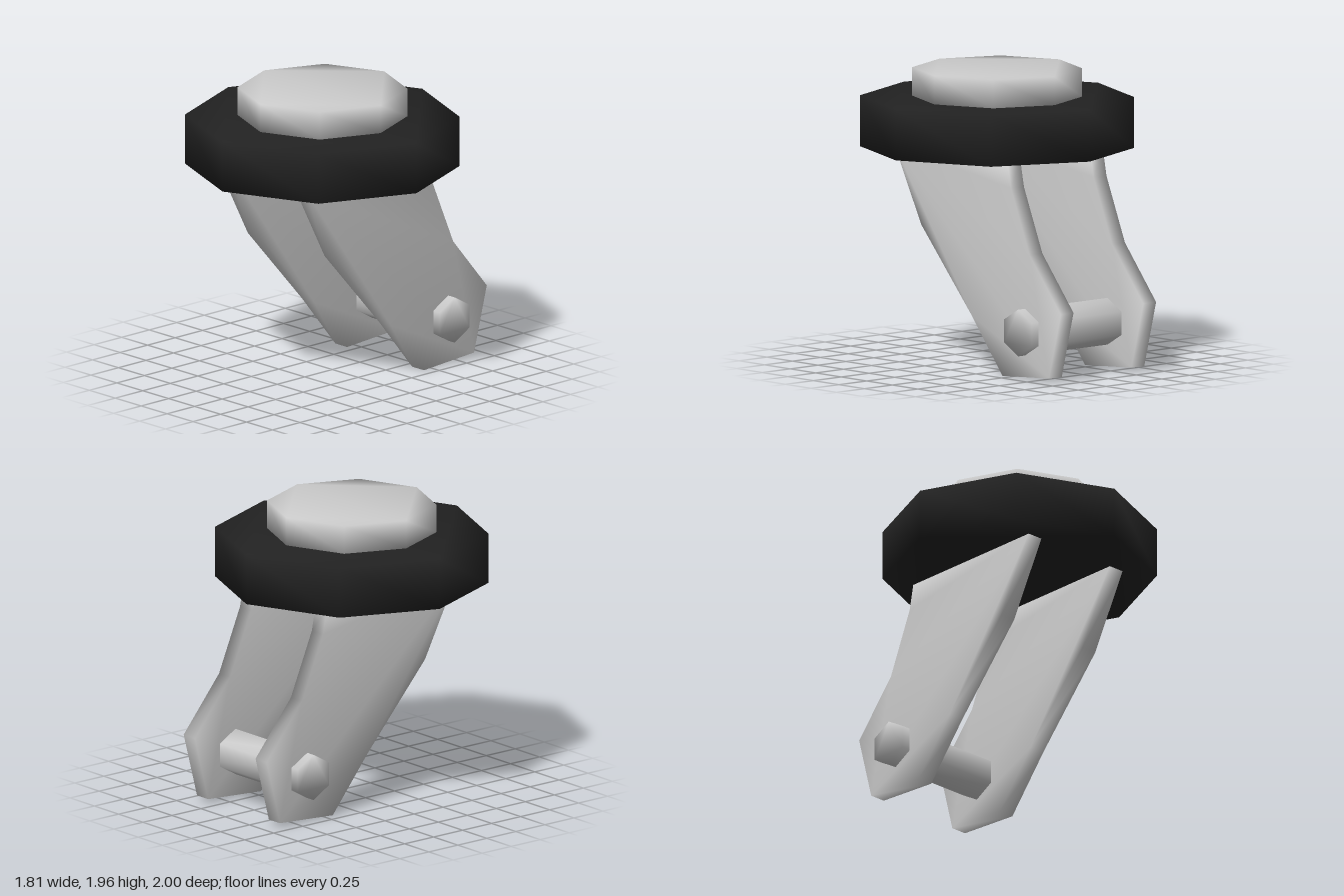
import * as THREE from 'three';
import { mergeVertices } from 'three/addons/utils/BufferGeometryUtils.js';

// Low-poly prism from an outline in XY, extruded along +z, with shared smooth normals
function prism(points, depth) {
  const shape = new THREE.Shape(points.map(([x, y]) => new THREE.Vector2(x, y)));
  const raw = new THREE.ExtrudeGeometry(shape, { depth, bevelEnabled: false });
  raw.deleteAttribute('uv');
  raw.deleteAttribute('normal');
  const geometry = mergeVertices(raw, 1e-4);
  geometry.computeVertexNormals();
  return geometry;
}

// Regular polygon with one corner pointing up
function polygon(sides, radius) {
  return Array.from({ length: sides }, (_, i) => {
    const a = Math.PI / 2 + (i / sides) * Math.PI * 2;
    return [Math.cos(a) * radius, Math.sin(a) * radius];
  });
}

export function createModel() {
  const group = new THREE.Group();
  const grey = new THREE.MeshStandardMaterial({ color: 0xcccccc });
  const black = new THREE.MeshStandardMaterial({ color: 0x222222 });

  function add(name, geometry, material, x, y, z) {
    const mesh = new THREE.Mesh(geometry, material);
    mesh.name = name;
    mesh.position.set(x, y, z);
    group.add(mesh);
  }

  // Octagonal mounting plate and the cap on top of it
  const discZ = 0.09;
  const disc = (radius, height) => prism(polygon(8, radius), height).rotateX(-Math.PI / 2);
  add('mountingPlate', disc(0.907, 0.34), black, 0, 1.43, discZ);
  add('topCap', disc(0.562, 0.19), grey, 0, 1.77, discZ);

  // Two raked fork legs, outline given as [z, y]
  const legOutline = [
    [0.63, 1.435], [0.365, 0.925], [-0.13, 0.37], [-0.43, 0], [-0.885, 0.03],
    [-1, 0.47], [-0.695, 0.835], [-0.515, 1.26], [-0.48, 1.435],
  ].map(([z, y]) => [-z, y]);
  const legWidth = 0.115;
  for (const [name, x] of [['leftLeg', 0.37], ['rightLeg', -0.37]]) {
    const leg = prism(legOutline, legWidth).rotateY(Math.PI / 2);
    add(name, leg, grey, x - legWidth / 2, 0, 0);
  }

  // Hexagonal axle through both legs
  const axle = prism(polygon(6, 0.156), 0.98).rotateY(Math.PI / 2);
  add('axle', axle, grey, -0.49, 0.315, -0.65);

  return group;
}
